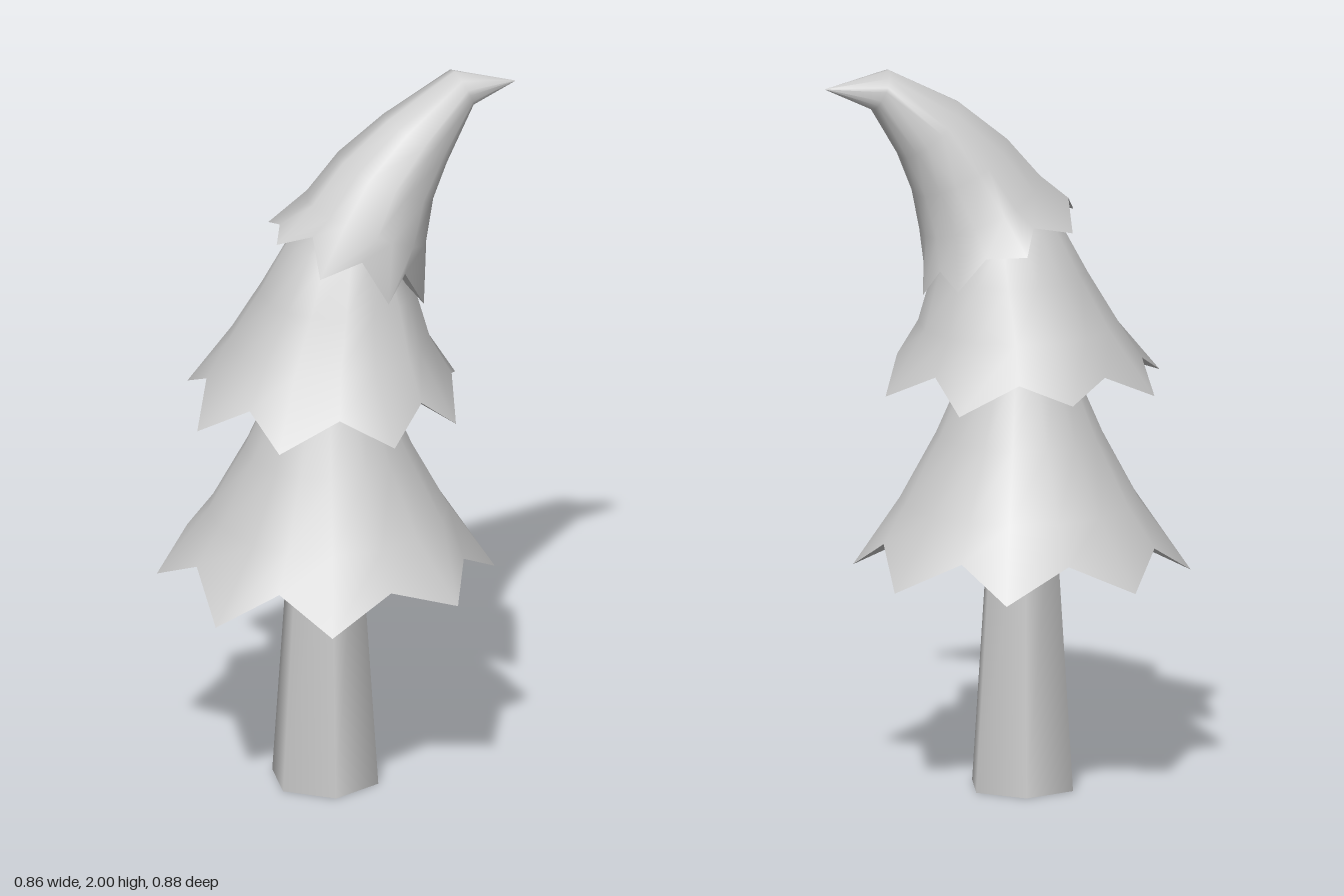
import * as THREE from 'three';

const material = new THREE.MeshStandardMaterial({ color: 0xcccccc, side: THREE.DoubleSide });

// Smooth surface through rows of points, each row running clockwise seen from above
function loft(rows) {
  const n = rows[0].length, index = [];
  for (let i = 0; i < rows.length - 1; i++) {
    for (let j = 0; j < n; j++) {
      const a = i * n + j, b = i * n + (j + 1) % n, c = a + n, d = b + n;
      index.push(a, c, b, b, c, d);
    }
  }
  const geometry = new THREE.BufferGeometry().setFromPoints(rows.flat());
  geometry.setIndex(index);
  geometry.computeVertexNormals();
  return new THREE.Mesh(geometry, material);
}

// One tier: a jagged rim (tips and valleys in turn), rings above it and a shallow underside.
// A ring is [x, y, z, radius, tilt]; all rings lean towards the bend.
const BEND = new THREE.Vector3(0.75, 0, -0.66).normalize();
const UP = new THREE.Vector3(0, 1, 0);

function tier(name, rimPoints, rings, under) {
  const rim = rimPoints.map(p => new THREE.Vector3(...p));
  const middle = rim.reduce((s, p) => s.add(p), new THREE.Vector3()).divideScalar(rim.length);
  const angles = rim.map(p => Math.atan2(p.z - middle.z, p.x - middle.x));
  const ring = ([x, y, z, r, tilt = 0]) => {
    const t = THREE.MathUtils.degToRad(tilt);
    const axis = BEND.clone().multiplyScalar(Math.sin(t)).addScaledVector(UP, Math.cos(t));
    const q = new THREE.Quaternion().setFromUnitVectors(UP, axis);
    return angles.map(a => new THREE.Vector3(r * Math.cos(a), 0, r * Math.sin(a))
      .applyQuaternion(q).add(new THREE.Vector3(x, y, z)));
  };
  const group = new THREE.Group();
  group.name = name;
  const skirt = loft([rim, ...rings.map(ring)]);
  skirt.name = name + 'Skirt';
  const underside = loft([ring(under), rim]);
  underside.name = name + 'Underside';
  group.add(skirt, underside);
  return group;
}

export function createModel() {
  const model = new THREE.Group();
  model.name = 'bentTree';

  // Six-sided tapered trunk
  const trunk = new THREE.Mesh(new THREE.CylinderGeometry(0.092, 0.15, 0.85, 6), material);
  trunk.geometry.rotateY(Math.PI / 6);
  trunk.position.set(-0.01, 0.425, -0.015);
  trunk.name = 'trunk';
  model.add(trunk);

  // Widest tier
  model.add(tier('lowerTier', [
    [-0.17, 0.603, -0.445], [-0.01, 0.69, -0.39], [0.165, 0.603, -0.44], [0.28, 0.69, -0.27],
    [0.41, 0.603, -0.19], [0.38, 0.69, -0.02], [0.43, 0.64, 0.175], [0.27, 0.69, 0.26],
    [0.155, 0.603, 0.41], [-0.01, 0.69, 0.367], [-0.165, 0.603, 0.44], [-0.28, 0.69, 0.26],
    [-0.43, 0.603, 0.15], [-0.395, 0.69, 0], [-0.43, 0.61, -0.19], [-0.28, 0.69, -0.29],
  ], [
    [0, 0.79, -0.01, 0.322], [0, 0.97, -0.01, 0.225], [0, 1.17, -0.01, 0.138], [0, 1.3, -0.01, 0.09],
  ], [-0.01, 0.78, -0.015, 0.09]));

  // Middle tier
  model.add(tier('middleTier', [
    [-0.01, 1.1, -0.405], [0.1, 1.18, -0.325], [0.26, 1.105, -0.3], [0.31, 1.18, -0.125],
    [0.375, 1.105, 0.03], [0.298, 1.18, 0.09], [0.28, 1.115, 0.26], [0.13, 1.18, 0.275],
    [-0.01, 1.1, 0.367], [-0.12, 1.18, 0.29], [-0.265, 1.105, 0.3], [-0.3, 1.18, 0.12],
    [-0.395, 1.11, 0], [-0.31, 1.18, -0.13], [-0.285, 1.13, -0.275], [-0.145, 1.18, -0.315],
  ], [
    [-0.005, 1.28, -0.03, 0.27], [0.015, 1.42, -0.04, 0.208], [0.03, 1.54, -0.05, 0.15, 10],
    [0.06, 1.62, -0.07, 0.1, 20],
  ], [0, 1.225, -0.01, 0.1]));

  // Top tier, bending over to a point
  model.add(tier('topTier', [
    [0.03, 1.525, 0.145], [-0.015, 1.615, 0.075], [-0.115, 1.58, 0.08], [-0.122, 1.62, 0.035],
    [-0.2, 1.56, -0.1], [-0.125, 1.585, -0.185], [-0.14, 1.52, -0.255], [-0.03, 1.51, -0.28],
    [0.035, 1.42, -0.32], [0.11, 1.46, -0.275], [0.17, 1.385, -0.255], [0.21, 1.455, -0.17],
    [0.245, 1.39, -0.085], [0.214, 1.5, -0.02], [0.205, 1.455, 0.09], [0.125, 1.56, 0.075],
  ], [
    [0.074, 1.61, -0.1, 0.178, 24], [0.116, 1.72, -0.138, 0.146, 28],
    [0.186, 1.825, -0.186, 0.109, 40], [0.284, 1.946, -0.286, 0.058, 65],
    [0.408, 1.95, -0.363, 0.001, 80],
  ], [0.04, 1.57, -0.06, 0.1, 20]));

  return model;
}
